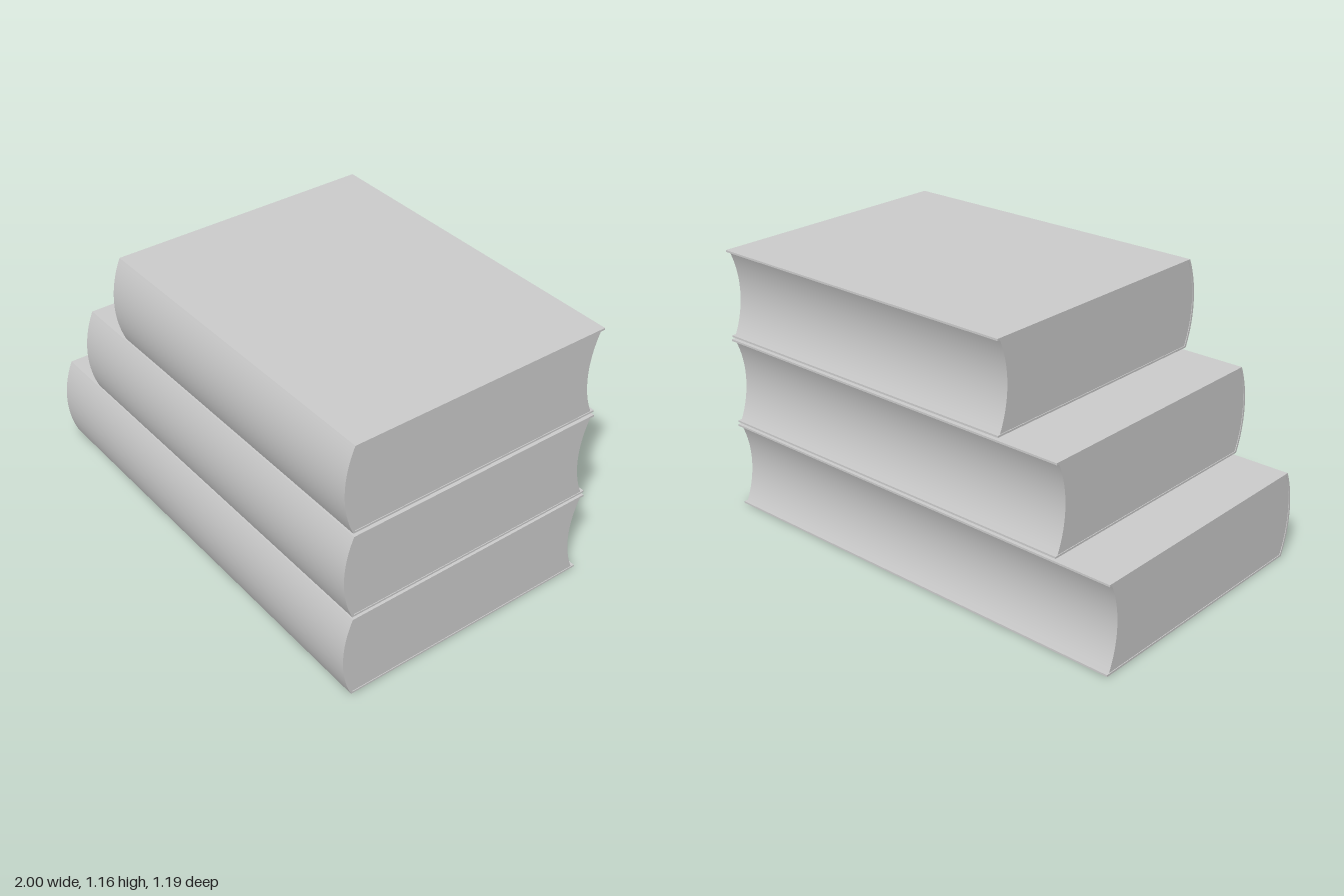
import * as THREE from 'three';
import { toCreasedNormals } from 'three/addons/utils/BufferGeometryUtils.js';

const HEIGHT = 0.378;  // one closed book
const STEP = 0.389;    // rise from one book to the next
const BOARD = 0.008;   // cover thickness
const material = new THREE.MeshStandardMaterial({ color: 0xcccccc });

// Points (z, y) of an arc from y0 to y1, ends at z, middle at z + bulge
function arc(z, bulge, y0, y1, segments = 24) {
  const half = (y1 - y0) / 2;
  const radius = (half * half + bulge * bulge) / (2 * bulge);
  const sweep = Math.asin(half / radius);
  const points = [];
  for (let i = 0; i <= segments; i++) {
    const a = sweep * (2 * i / segments - 1);
    points.push(new THREE.Vector2(z + bulge - radius * (1 - Math.cos(a)), y0 + half + radius * Math.sin(a)));
  }
  return points;
}

// Extrude a (z, y) outline along x from x0 to x1
function extrudeAlongX(name, outline, x0, x1) {
  const geometry = new THREE.ExtrudeGeometry(new THREE.Shape(outline), { depth: x1 - x0, bevelEnabled: false });
  geometry.rotateY(-Math.PI / 2).translate(x1, 0, 0);
  const mesh = new THREE.Mesh(toCreasedNormals(geometry, Math.PI / 6), material);
  mesh.name = name;
  return mesh;
}

function createBook(x0, x1) {
  const book = new THREE.Group();
  const back = -0.595;
  const low = BOARD, high = HEIGHT - BOARD;
  const innerSpine = arc(0.546, 0.04, low, high);

  // Cover: two boards joined by a rounded spine
  const cover = [
    new THREE.Vector2(back, 0),
    ...arc(0.554, 0.041, 0, HEIGHT),
    new THREE.Vector2(back, HEIGHT),
    new THREE.Vector2(back, high),
    ...innerSpine.slice().reverse(),
    new THREE.Vector2(back, low),
  ];
  book.add(extrudeAlongX('cover', cover, x0, x1));

  // Page block: rounded at the spine, hollow at the fore edge
  const pages = [...innerSpine, ...arc(-0.58, 0.04, low, high).reverse()];
  book.add(extrudeAlongX('pages', pages, x0 + 0.003, x1 - 0.003));
  return book;
}

export function createModel() {
  const model = new THREE.Group();
  model.name = 'bookStack';
  // Left and right ends of each book, bottom to top
  const books = [['bottomBook', -1, 1], ['middleBook', -0.755, 0.997], ['topBook', -0.482, 0.992]];
  books.forEach(([name, x0, x1], i) => {
    const book = createBook(x0, x1);
    book.name = name;
    book.position.y = i * STEP;
    model.add(book);
  });
  return model;
}
